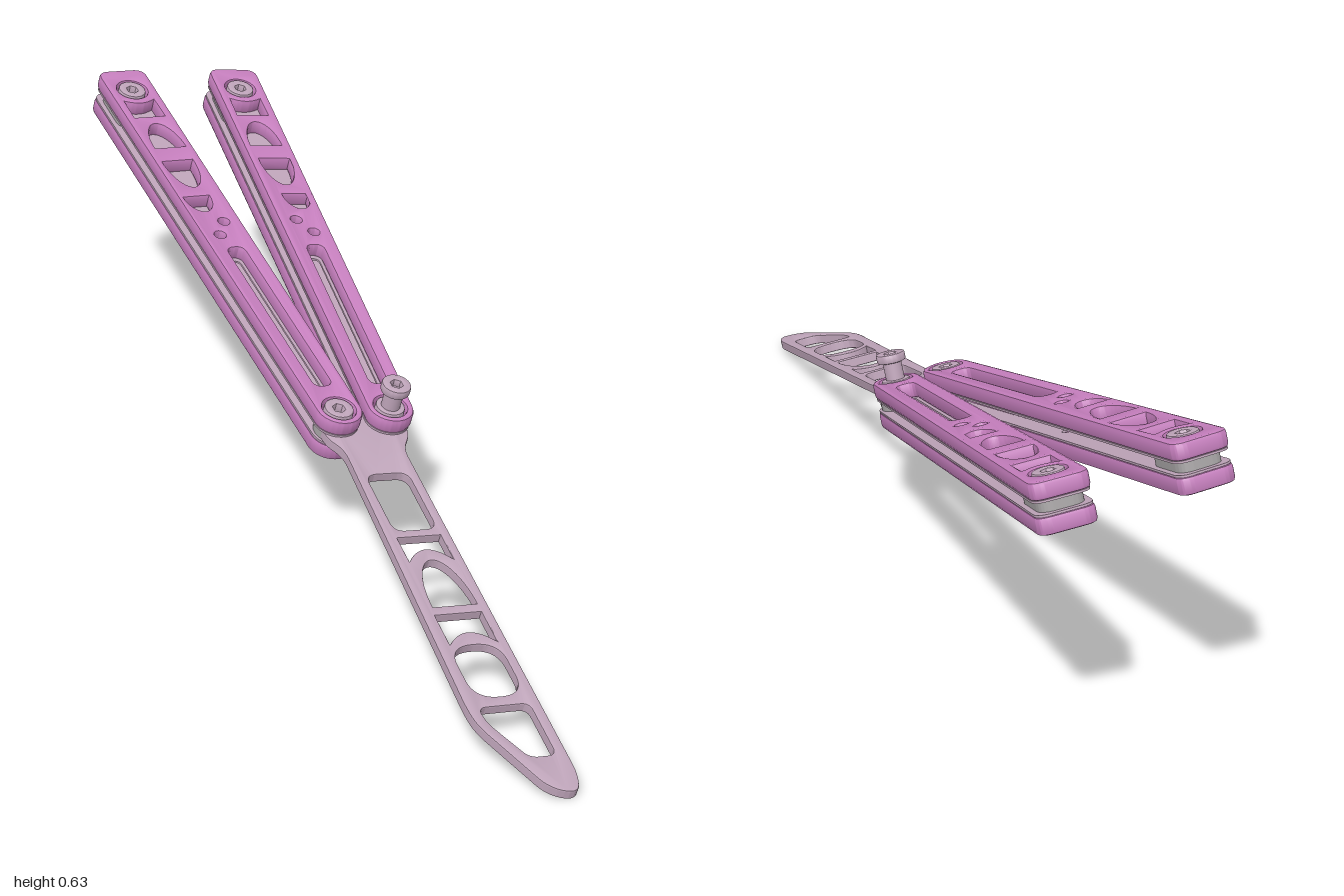
import * as THREE from 'three';
import { toCreasedNormals } from 'three/addons/utils/BufferGeometryUtils.js';

const purple = new THREE.MeshStandardMaterial({ name: 'anodised purple', color: 0xc67fbe });
const mauve = new THREE.MeshStandardMaterial({ name: 'mauve metal', color: 0xbfa5ba });
const grey = new THREE.MeshStandardMaterial({ name: 'spacer grey', color: 0xa6a3a4 });

// Closed outline with rounded corners
function roundPoly(pts, r, PathType = THREE.Path) {
  const path = new PathType();
  const v = pts.map(([x, y]) => new THREE.Vector2(x, y));
  const toward = (p, q) => p.clone().lerp(q, Math.min(0.5, r / p.distanceTo(q)));
  v.forEach((p, i) => {
    const a = toward(p, v[(i + v.length - 1) % v.length]);
    const b = toward(p, v[(i + 1) % v.length]);
    if (i === 0) path.moveTo(a.x, a.y);
    else path.lineTo(a.x, a.y);
    path.quadraticCurveTo(p.x, p.y, b.x, b.y);
  });
  path.closePath();
  return path;
}

const rect = (x0, x1, y0, y1) => [[x0, y0], [x1, y0], [x1, y1], [x0, y1]];

function circle(x, y, r) {
  const p = new THREE.Path();
  p.absarc(x, y, r, 0, Math.PI * 2, false);
  return p;
}

// Half-ellipse cutout; flat side at x = flat, round side at x = round
function dHole(flat, round, c, hw) {
  const p = new THREE.Path();
  const w = Math.abs(round - flat), s = round < flat ? Math.PI / 2 : -Math.PI / 2;
  p.absellipse(flat, c, w, hw, s, s + Math.PI, false, 0);
  p.closePath();
  return p;
}

// Cutout with one concave end
function sliver(x0, x1, bend, lo, hi) {
  const p = new THREE.Path();
  p.moveTo(x0, lo);
  p.lineTo(x0, hi);
  p.lineTo(x1, hi);
  p.quadraticCurveTo(bend, (lo + hi) / 2, x1, lo);
  p.closePath();
  return p;
}

// Flat plate lying between heights y0 and y1
function plate(name, shape, y0, y1, bevel, material) {
  const g = new THREE.ExtrudeGeometry(shape, {
    depth: y1 - y0 - 2 * bevel, bevelEnabled: bevel > 0, bevelSize: bevel,
    bevelThickness: bevel, bevelOffset: -bevel, bevelSegments: 2, curveSegments: 20,
  });
  g.translate(0, 0, y0 + bevel);
  g.rotateX(-Math.PI / 2);
  const mesh = new THREE.Mesh(toCreasedNormals(g, 0.6), material);
  mesh.name = name;
  return mesh;
}

const LENGTH = 1.152; // pivot to end screw

function handleOutline(inset) {
  const s = new THREE.Shape();
  const end = LENGTH + 0.078 - inset, w0 = 0.05 - inset, w1 = 0.058 - inset, c = 0.028;
  s.absarc(0, 0, w0, Math.PI / 2, Math.PI * 1.5, false);
  s.lineTo(end - c, -w1);
  s.quadraticCurveTo(end, -w1, end, -w1 + c);
  s.lineTo(end, w1 - c);
  s.quadraticCurveTo(end, w1, end - c, w1);
  s.closePath();
  return s;
}

function smallHoles(m) {
  return [circle(0.643, -0.014 * m, 0.012), circle(0.598, 0.014 * m, 0.012)];
}

function screw(name, x, y0, y1) {
  const s = new THREE.Shape();
  s.absarc(x, 0, 0.031, 0, Math.PI * 2, false);
  const hex = new THREE.Path();
  for (let i = 0; i < 6; i++) {
    const a = i * Math.PI / 3, px = x + 0.013 * Math.cos(a), py = 0.013 * Math.sin(a);
    if (i) hex.lineTo(px, py);
    else hex.moveTo(px, py);
  }
  hex.closePath();
  s.holes.push(hex);
  return plate(name, s, y0, y1, 0.004, mauve);
}

// One handle: two purple scales, thin inner liners, spacer and screws
function makeHandle(name, m) {
  const handle = new THREE.Group();
  handle.name = name;

  const scale = handleOutline(0);
  scale.holes.push(
    circle(0, 0, 0.035), circle(LENGTH, 0, 0.035),
    roundPoly(rect(0.075, 0.55, -0.019, 0.019), 0.018),
    ...smallHoles(m),
    dHole(0.738, 0.685, 0.012 * m, 0.03),
    dHole(0.872, 0.775, 0.002 * m, 0.036),
    dHole(0.925, 1.015, -0.002 * m, 0.036),
    sliver(1.045, 1.108, 1.085, -0.036, 0.036),
  );
  const liner = handleOutline(0.002);
  liner.holes.push(roundPoly(rect(0.082, 0.543, -0.015, 0.015), 0.014), ...smallHoles(m));

  for (const [side, up] of [['upper', 1], ['lower', -1]]) {
    const add = (fn, a, b) => handle.add(fn(Math.min(a * up, b * up), Math.max(a * up, b * up)));
    add((a, b) => plate(side + 'Scale', scale, a, b, 0.007, purple), 0.015, 0.05);
    add((a, b) => plate(side + 'Liner', liner, a, b, 0, mauve), 0.011, 0.0155);
    add((a, b) => screw(side + 'PivotScrew', 0, a, b), 0.014, 0.05);
    add((a, b) => screw(side + 'EndScrew', LENGTH, a, b), 0.014, 0.05);
  }
  const spacer = roundPoly(rect(1.085, 1.215, -0.045, 0.045), 0.03, THREE.Shape);
  handle.add(plate('endSpacer', spacer, -0.0115, 0.0115, 0, grey));
  const washer = new THREE.Mesh(new THREE.CylinderGeometry(0.042, 0.042, 0.023, 32), grey);
  washer.name = 'pivotWasher';
  handle.add(washer);
  return handle;
}

// Skeletonised practice blade
function makeBlade() {
  const blade = roundPoly([
    [-0.035, -0.09], [0.045, -0.095], [0.085, -0.068], [0.83, -0.09], [0.875, -0.085],
    [1.045, -0.008], [1.066, 0.045], [1.02, 0.063], [0.09, 0.063], [0.045, 0.095], [-0.035, 0.09],
  ], 0.03, THREE.Shape);
  blade.holes.push(
    roundPoly(rect(0.165, 0.335, -0.05, 0.042), 0.025),
    sliver(0.355, 0.425, 0.36, -0.052, 0.042),
    dHole(0.555, 0.425, -0.005, 0.047),
    sliver(0.578, 0.66, 0.6, -0.057, 0.042),
    roundPoly(rect(0.665, 0.805, -0.062, 0.042), 0.05),
    roundPoly([[0.83, -0.066], [0.87, -0.062], [0.965, -0.014], [0.965, 0.04], [0.83, 0.04]], 0.018),
  );
  const mesh = plate('blade', blade, -0.0105, 0.0105, 0.003, mauve);
  return mesh;
}

// Raised knob standing on one pivot
function makeKnob() {
  const knob = new THREE.Group();
  knob.name = 'pivotKnob';
  const stem = new THREE.Mesh(new THREE.CylinderGeometry(0.02, 0.02, 0.052, 32), mauve);
  stem.name = 'knobStem';
  stem.position.y = 0.066;
  knob.add(stem, screw('knobHead', 0, 0.088, 0.108));
  return knob;
}

export function createModel() {
  const model = new THREE.Group();
  model.name = 'foldingTrainer';
  const tilted = new THREE.Group();
  tilted.name = 'tiltedAssembly';
  tilted.rotation.x = 0.279;
  tilted.position.y = 0.309;
  model.add(tilted);

  const place = (part, x, z, dx, dz) => {
    part.position.set(x, 0, z);
    part.rotation.y = Math.atan2(-dz, dx);
    tilted.add(part);
  };
  place(makeHandle('rightHandle', 1), -0.16, 0.069, 0.4375, -0.899);
  place(makeHandle('leftHandle', -1), -0.063, 0.129, 0.551, -0.834);
  place(makeBlade(), -0.111, 0.099, -0.513, 0.858);
  place(makeKnob(), -0.063, 0.129, 1, 0);
  return model;
}
